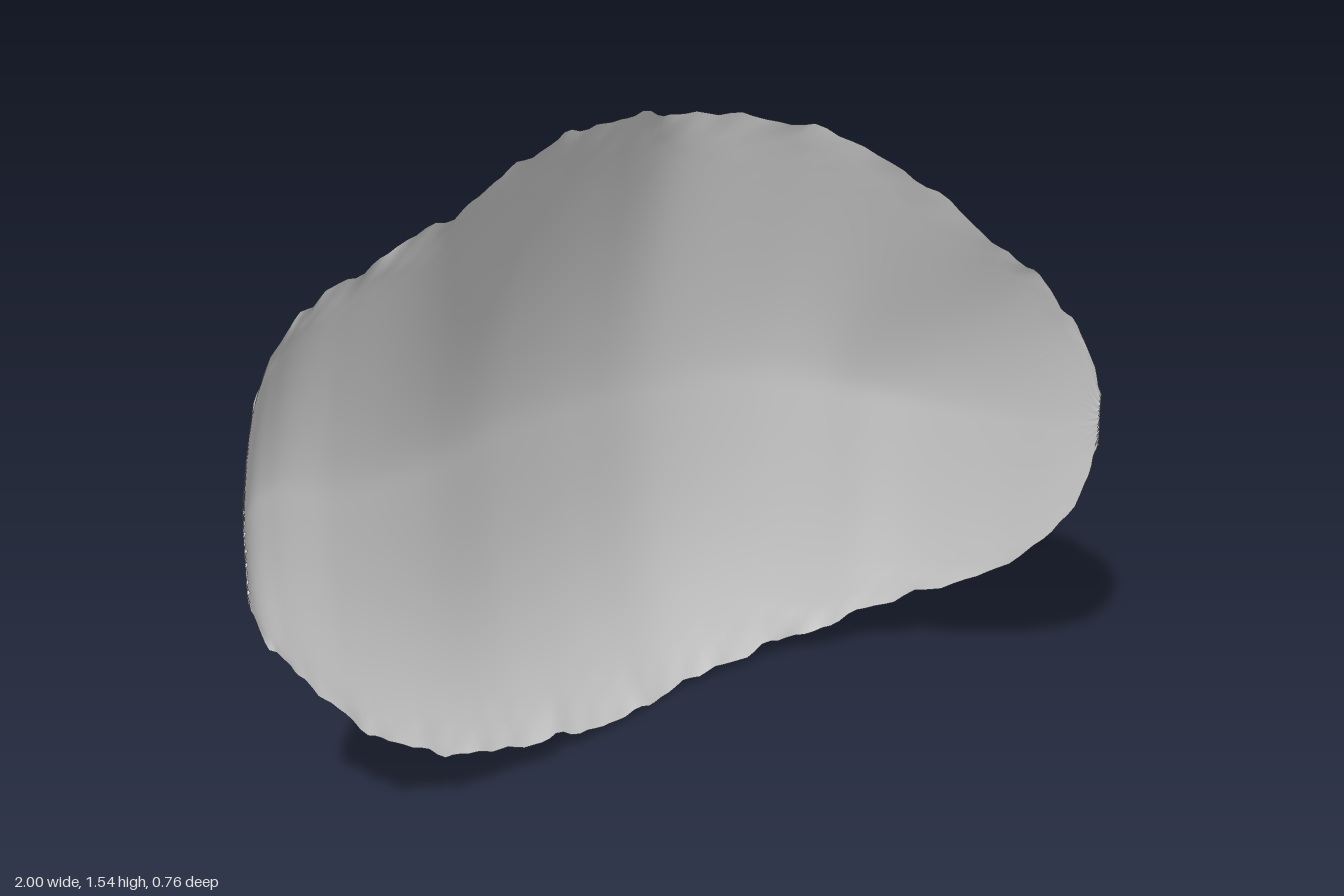
import * as THREE from 'three';

// Stations across the width, and the profile values at each of them
const STATIONS = [-1, -0.97, -0.9, -0.75, -0.5, -0.25, 0, 0.25, 0.5, 0.65, 0.8, 0.9, 0.97, 1];
const TOP = [0.86, 1.08, 1.25, 1.35, 1.46, 1.525, 1.52, 1.465, 1.42, 1.33, 1.17, 1.06, 0.92, 0.8];
const BOTTOM = [0.64, 0.55, 0.45, 0.27, 0.125, 0.06, 0.01, 0.01, 0.035, 0.07, 0.16, 0.29, 0.5, 0.68];
const DEPTH = [-0.08, -0.12, -0.14, -0.14, -0.18, -0.27, -0.34, -0.38, -0.325, -0.24, -0.13, 0.08, 0.29, 0.37];
const TOP_CURL = [0, 0.06, 0.11, 0.13, 0.2, 0.21, 0.2, 0.16, 0.23, 0.28, 0.33, 0.2, 0.05, 0];
const BOTTOM_CURL = [0, 0.05, 0.08, 0.1, 0.13, 0.17, 0.18, 0.15, 0.09, 0.05, 0.06, 0.06, 0.03, 0];

// Smooth curve through a list of station values
function profile(values) {
  const spline = new THREE.CubicInterpolant(STATIONS, values, 1, [0]);
  return (x) => spline.evaluate(x)[0];
}

// Small irregular ripple for the ragged rim
const ripple = (a) => 0.005 * Math.sin(31 * a) + 0.004 * Math.sin(53 * a + 1) + 0.003 * Math.sin(87 * a + 2);

// Curved sheet: a grid bent backwards in the middle, its rim curling forwards
function createShell() {
  const top = profile(TOP), bottom = profile(BOTTOM), depth = profile(DEPTH);
  const topCurl = profile(TOP_CURL), bottomCurl = profile(BOTTOM_CURL);
  const geometry = new THREE.PlaneGeometry(2, 2, 120, 48);
  const position = geometry.attributes.position;
  for (let i = 0; i < position.count; i++) {
    const u = position.getX(i), v = position.getY(i);
    const x = Math.sin(u * Math.PI / 2); // columns gather towards the side rims
    const middle = (top(x) + bottom(x)) / 2;
    const half = (top(x) - bottom(x)) / 2;
    const rim = Math.pow(Math.max(Math.abs(u), Math.abs(v)), 16);
    const curl = v > 0 ? topCurl(x) * Math.pow(v, 1.5) : bottomCurl(x) * Math.pow(-v, 3.2);
    position.setXYZ(
      i,
      x * (1 - rim * Math.pow(Math.abs(u), 12) * (0.006 + ripple(v + 3) * 0.5)),
      Math.max(0, middle + half * v + rim * ripple(u * 1.3 + Math.sign(v))),
      depth(x) + curl + rim * ripple(u + v) * 0.6
    );
  }
  geometry.computeVertexNormals();
  const shell = new THREE.Mesh(
    geometry,
    new THREE.MeshStandardMaterial({ color: 0xcccccc, side: THREE.DoubleSide })
  );
  shell.name = 'curvedShell';
  return shell;
}

export function createModel() {
  const group = new THREE.Group();
  group.name = 'shellFragment';
  group.add(createShell());
  return group;
}
